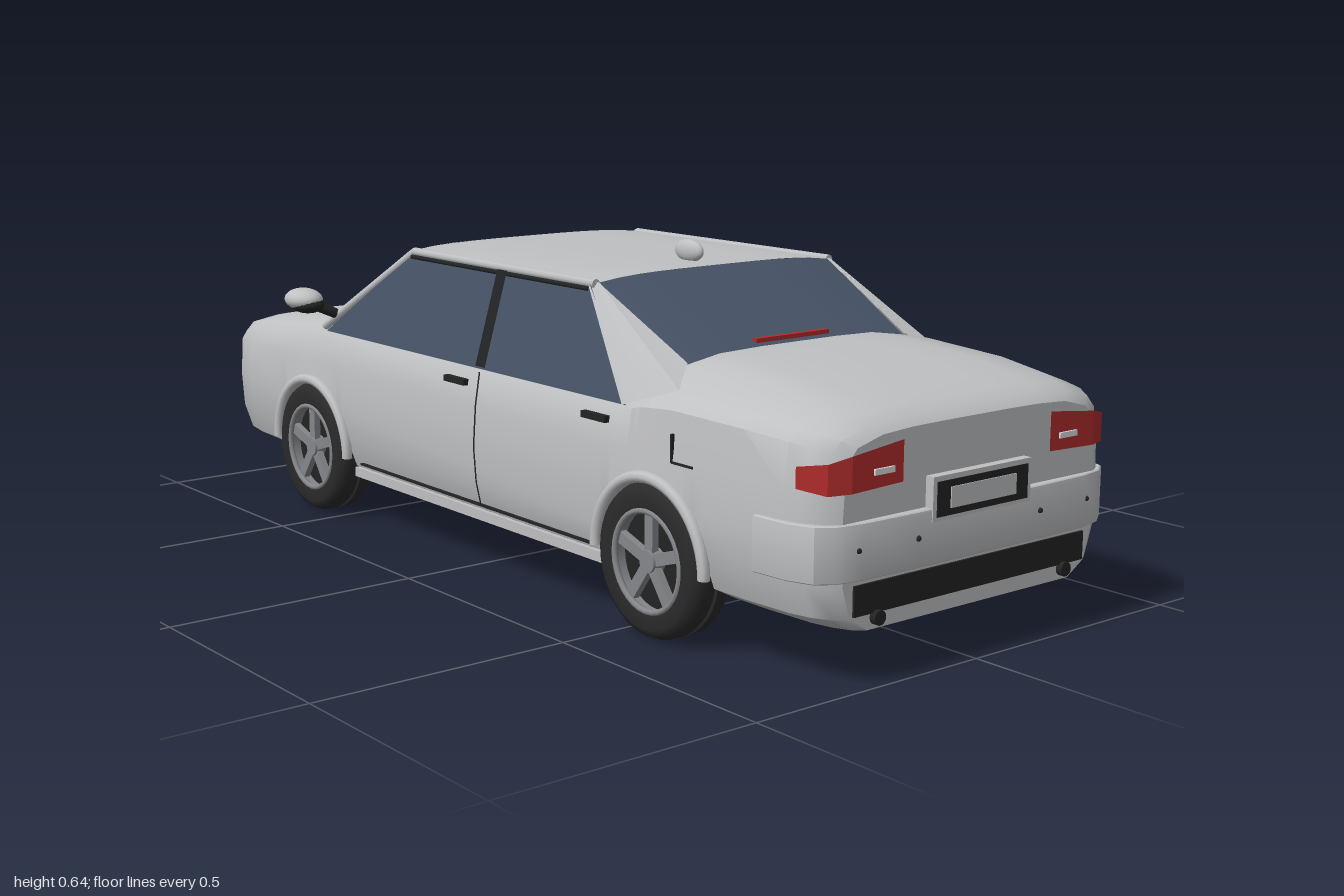
import * as THREE from 'three';
import { toCreasedNormals } from 'three/addons/utils/BufferGeometryUtils.js';

const mat = (name, color, side = THREE.FrontSide) => new THREE.MeshStandardMaterial({ name, color, side });
const V = (x, y, z) => new THREE.Vector3(x, y, z);

// Linear lookup in a list of [x, value, value...] rows
function lookup(table, x, k) {
  for (let i = 1; i < table.length; i++) {
    const a = table[i - 1], b = table[i];
    if (x <= b[0]) return a[k] + (b[k] - a[k]) * Math.max(0, (x - a[0]) / (b[0] - a[0]));
  }
  return table[table.length - 1][k];
}

// Surface through rows of points
function loft(rows, crease = 0.6) {
  const n = rows[0].length, pos = [], idx = [];
  rows.forEach(r => r.forEach(p => pos.push(p.x, p.y, p.z)));
  for (let i = 0; i < rows.length - 1; i++) for (let j = 0; j < n - 1; j++) {
    const a = i * n + j, b = a + n;
    idx.push(a, b, a + 1, b, b + 1, a + 1);
  }
  const g = new THREE.BufferGeometry();
  g.setAttribute('position', new THREE.Float32BufferAttribute(pos, 3));
  g.setIndex(idx);
  g.computeVertexNormals();
  return toCreasedNormals(g, crease);
}

// Four-cornered panel, crowned between its two ends
function panel(a, b, c, d, crown = V(0, 0, 0), n = 12) {
  const rows = [];
  for (let i = 0; i <= n; i++) {
    const u = i / n, k = 1 - (2 * u - 1) ** 4;
    rows.push([a.clone().lerp(b, u).addScaledVector(crown, k), d.clone().lerp(c, u).addScaledVector(crown, k)]);
  }
  return loft(rows);
}

// Body: x, half width, shoulder height, centre height
const BODY = [
  [-1, 0.295, 0.335, 0.345], [-0.985, 0.325, 0.352, 0.367], [-0.95, 0.35, 0.366, 0.38], [-0.88, 0.364, 0.378, 0.394],
  [-0.75, 0.37, 0.39, 0.41], [-0.55, 0.372, 0.41, 0.432], [-0.45, 0.372, 0.41, 0.43], [0.48, 0.372, 0.41, 0.42],
  [0.535, 0.372, 0.425, 0.486], [0.62, 0.372, 0.432, 0.487], [0.8, 0.371, 0.43, 0.474],
  [0.9, 0.364, 0.425, 0.457], [0.94, 0.353, 0.42, 0.446], [0.97, 0.335, 0.412, 0.435], [0.985, 0.31, 0.4, 0.42]];
const FLOOR = 0.095, AXLES = [-0.59, 0.575], HUB_Y = 0.14, ARCH = 0.145;

function section(x, archY) {
  const w = lookup(BODY, x, 1), s = lookup(BODY, x, 2), c = lookup(BODY, x, 3), b = FLOOR;
  const zi = Math.min(0.27, 0.72 * w), mix = t => s + (c - s) * t;
  const outer = [[0.8, b], [0.93, b + 0.025], [0.985, b + 0.08], [1, 0.25], [0.985, 0.33],
    [0.955, s - 0.02], [0.9, s], [0.72, mix(0.75)], [0.5, mix(0.96)], [0.25, c], [0, c]];
  return [V(x, b, 0), V(x, b, zi), V(x, archY, zi), ...outer.map(([f, y]) => V(x, Math.max(y, archY), f * w))];
}

export function createModel() {
  const car = new THREE.Group();
  car.name = 'sedan';
  const D = THREE.DoubleSide;
  const paint = mat('silverPaint', 0xbfc0c2, D), glass = mat('tintedGlass', 0x465266, D);
  const black = mat('blackTrim', 0x222324, D), rubber = mat('tireRubber', 0x2a2a2b);
  const alloy = mat('wheelAlloy', 0x85878b, D), red = mat('redLens', 0xb02c2c, D);
  const pale = mat('paleLens', 0xdadcde, D);
  const add = (name, geo, m, parent = car) => {
    const mesh = new THREE.Mesh(geo, m);
    mesh.name = name;
    parent.add(mesh);
    return mesh;
  };
  const box = (name, m, x, y, z, sx, sy, sz) => {
    const mesh = add(name, new THREE.BoxGeometry(sx, sy, sz), m);
    mesh.position.set(x, y, z);
    return mesh;
  };
  const bar = (name, m, a, b, r) => {
    const mesh = add(name, new THREE.CylinderGeometry(r, r, a.distanceTo(b), 8), m);
    mesh.position.copy(a).lerp(b, 0.5);
    mesh.quaternion.setFromUnitVectors(V(0, 1, 0), b.clone().sub(a).normalize());
  };
  const ball = (name, m, x, y, z, sx, sy, sz) => {
    const mesh = add(name, new THREE.SphereGeometry(1, 20, 14), m);
    mesh.position.set(x, y, z);
    mesh.scale.set(sx, sy, sz);
  };

  // Body shell with wheel wells
  const halves = [];
  const run = (from, to) => {
    const xs = [from, ...BODY.map(r => r[0]).filter(x => x > from && x < to), to];
    xs.forEach(x => halves.push(section(x, FLOOR)));
  };
  let start = -1;
  for (const c of AXLES) {
    run(start, c - ARCH);
    for (let i = 0; i <= 20; i++) {
      const t = Math.PI * i / 20;
      halves.push(section(c - ARCH * Math.cos(t), HUB_Y + ARCH * Math.sin(t)));
    }
    start = c + ARCH;
  }
  run(start, 0.985);
  const mirror = h => h.map(p => V(p.x, p.y, -p.z));
  add('bodyShell', loft(halves.map(h => [...h, ...mirror(h).reverse().slice(1)]), 0.65), paint);
  const nose = halves[0], tail = halves[halves.length - 1];
  add('noseFace', loft([mirror(nose), nose]), paint);
  add('tailFace', loft([tail, mirror(tail)]), paint);

  // Cabin: roof, front and rear glass
  const crown = V(0, 0.011, 0);
  add('roof', panel(V(-0.29, 0.593, -0.294), V(-0.29, 0.593, 0.294), V(0.33, 0.593, 0.294), V(0.33, 0.593, -0.294), crown), paint);
  add('windshield', panel(V(-0.56, 0.412, -0.345), V(-0.56, 0.412, 0.345), V(-0.285, 0.592, 0.288), V(-0.285, 0.592, -0.288), V(0, 0.013, 0)), glass);
  add('rearWindow', panel(V(0.325, 0.592, -0.288), V(0.325, 0.592, 0.288), V(0.55, 0.47, 0.272), V(0.55, 0.47, -0.272), crown), glass);
  box('highBrakeLight', red, 0.53, 0.493, 0, 0.012, 0.008, 0.18);
  ball('roofAntenna', paint, 0.24, 0.622, 0, 0.04, 0.022, 0.014);

  for (const s of [1, -1]) {
    const P = (x, y, z) => V(x, y, z * s);
    // Side windows and pillars
    add('sideGlass', panel(P(-0.545, 0.4, 0.353), P(0.49, 0.4, 0.353), P(0.318, 0.588, 0.298), P(-0.288, 0.588, 0.298)), glass);
    add('rearPillar', panel(P(0.48, 0.4, 0.355), P(0.6, 0.44, 0.325), P(0.33, 0.593, 0.287), P(0.31, 0.59, 0.299)), paint);
    add('rearPillarInner', panel(P(0.6, 0.44, 0.325), P(0.555, 0.475, 0.268), P(0.325, 0.593, 0.286), P(0.33, 0.594, 0.289)), paint);
    add('centrePillar', panel(P(0.026, 0.405, 0.356), P(0.058, 0.405, 0.356), P(0.058, 0.588, 0.302), P(0.026, 0.588, 0.302)), black);
    bar('windshieldPillar', paint, P(-0.56, 0.408, 0.348), P(-0.285, 0.59, 0.292), 0.009);
    bar('roofRail', paint, P(-0.285, 0.591, 0.292), P(0.325, 0.591, 0.292), 0.009);
    bar('windowTopTrim', black, P(-0.285, 0.581, 0.298), P(0.312, 0.581, 0.298), 0.005);

    // Doors and sills
    for (const x of [-0.03, 0.415]) box('doorHandle', black, x, 0.37, s * 0.362, 0.07, 0.012, 0.016);
    const seam = [[0.13, 0.357], [0.18, 0.368], [0.25, 0.373], [0.33, 0.3675], [0.395, 0.357]];
    add('doorSeam', loft(seam.map(([y, z]) => [P(0.039, y, z), P(0.044, y, z)])), black);
    box('sillSeam', black, -0.01, 0.131, s * 0.354, 0.8, 0.004, 0.008);
    box('sill', paint, -0.01, 0.109, s * 0.338, 0.86, 0.02, 0.03);
    const flap = [[0.632, 0.35, 0.004, 0.05], [0.66, 0.326, 0.055, 0.004]];
    for (const [x, y, w, h] of flap) box('fuelFlapSeam', black, x, y, s * 0.366, w, h, 0.006);

    // Mirrors
    ball('mirrorShell', paint, -0.535, 0.475, s * 0.413, 0.05, 0.024, 0.037);
    ball('mirrorBase', black, -0.527, 0.466, s * 0.41, 0.046, 0.02, 0.033);
    bar('mirrorArm', black, P(-0.52, 0.44, 0.345), P(-0.53, 0.465, 0.4), 0.011);
    bar('wiper', black, P(-0.55, 0.438, 0.16), P(-0.49, 0.476, 0.06), 0.004);

    // Tail lamps wrapping round the corner: x, z, bottom, top
    const lamp = [[0.991, 0.18, 0.333, 0.403], [0.991, 0.295, 0.329, 0.39], [0.977, 0.335, 0.328, 0.38], [0.93, 0.36, 0.336, 0.372]];
    add('tailLamp', loft(lamp.map(([x, z, b, t]) => [P(x, b, z), P(x, t, z)]), 0.3), red);
    box('reverseLamp', pale, 0.992, 0.358, s * 0.225, 0.006, 0.01, 0.045);
    for (const z of [0.15, 0.28]) ball('parkingSensor', black, z > 0.2 ? 0.994 : 1, 0.235, s * z, 0.005, 0.005, 0.005);
    const pipe = add('exhaustPipe', new THREE.CylinderGeometry(0.013, 0.013, 0.06, 14), black);
    pipe.rotation.z = Math.PI / 2;
    pipe.position.set(0.967, 0.115, s * 0.23);
    box('frontFogLamp', pale, -1, 0.2, s * 0.25, 0.012, 0.03, 0.045);
    box('lowerGrilleLamp', pale, -1.001, 0.19, s * 0.09, 0.01, 0.018, 0.06);

    // Wheels and arch lips
    for (const c of AXLES) {
      const lip = add('archLip', new THREE.TorusGeometry(0.149, 0.011, 8, 28, Math.PI), paint);
      lip.position.set(c, HUB_Y, s * 0.372);
      const wheel = new THREE.Group();
      wheel.name = 'wheel';
      wheel.position.set(c, HUB_Y, s * 0.336);
      wheel.rotation.x = s * Math.PI / 2;
      car.add(wheel);
      const tread = [[0.09, -0.04], [0.12, -0.045], [0.134, -0.037], [0.14, -0.024], [0.14, -0.006], [0.135, -0.004],
        [0.135, 0.004], [0.14, 0.006], [0.14, 0.024], [0.134, 0.037], [0.12, 0.045], [0.09, 0.04]];
      add('tire', toCreasedNormals(new THREE.LatheGeometry(tread.map(p => new THREE.Vector2(...p)), 40), 0.7), rubber, wheel);
      add('rimBarrel', new THREE.CylinderGeometry(0.091, 0.091, 0.08, 32, 1, true), alloy, wheel);
      add('brakeDisc', new THREE.CylinderGeometry(0.09, 0.09, 0.01, 32), black, wheel).position.y = 0.01;
      add('rimEdge', new THREE.TorusGeometry(0.09, 0.006, 8, 32), alloy, wheel).geometry.rotateX(Math.PI / 2).translate(0, 0.038, 0);
      add('hubCap', new THREE.CylinderGeometry(0.02, 0.024, 0.03, 16), alloy, wheel).position.y = 0.024;
      for (let i = 0; i < 5; i++) {
        const spoke = add('spoke', new THREE.BoxGeometry(0.075, 0.014, 0.022).translate(0.05, 0.028, 0), alloy, wheel);
        spoke.rotation.y = i * Math.PI * 2 / 5 + Math.PI / 2;
      }
    }
  }

  // Rear bumper
  const edge = [[0.85, 0.373], [0.92, 0.367], [0.965, 0.35], [0.985, 0.32], [0.994, 0.27], [0.997, 0.15]];
  const plan = new THREE.Shape([...edge, ...edge.map(([x, z]) => [x, -z]).reverse()].map(p => new THREE.Vector2(...p)));
  const bumper = new THREE.ExtrudeGeometry(plan, { depth: 0.084, bevelThickness: 0.006, bevelSize: 0.003, bevelSegments: 2 });
  bumper.rotateX(Math.PI / 2).translate(0, 0.274, 0);
  add('rearBumper', toCreasedNormals(bumper, 0.6), paint);
  box('rearDiffuser', black, 0.985, 0.149, 0, 0.008, 0.052, 0.565);
  box('plateSurround', paint, 0.992, 0.295, 0, 0.02, 0.076, 0.24);
  box('plateRecess', black, 1, 0.294, 0, 0.007, 0.06, 0.222);
  box('plate', pale, 1.002, 0.294, 0, 0.007, 0.036, 0.16).material = paint;

  // Front grille and lower intake
  box('grilleSurround', black, -1, 0.295, 0, 0.006, 0.062, 0.36);
  box('grillePanel', alloy, -1.001, 0.295, 0, 0.008, 0.05, 0.345);
  for (const y of [0.28, 0.295, 0.31]) box('grilleBar', paint, -1.003, y, 0, 0.008, 0.006, 0.33);
  box('lowerIntake', black, -1, 0.19, 0, 0.006, 0.036, 0.46);
  return car;
}
